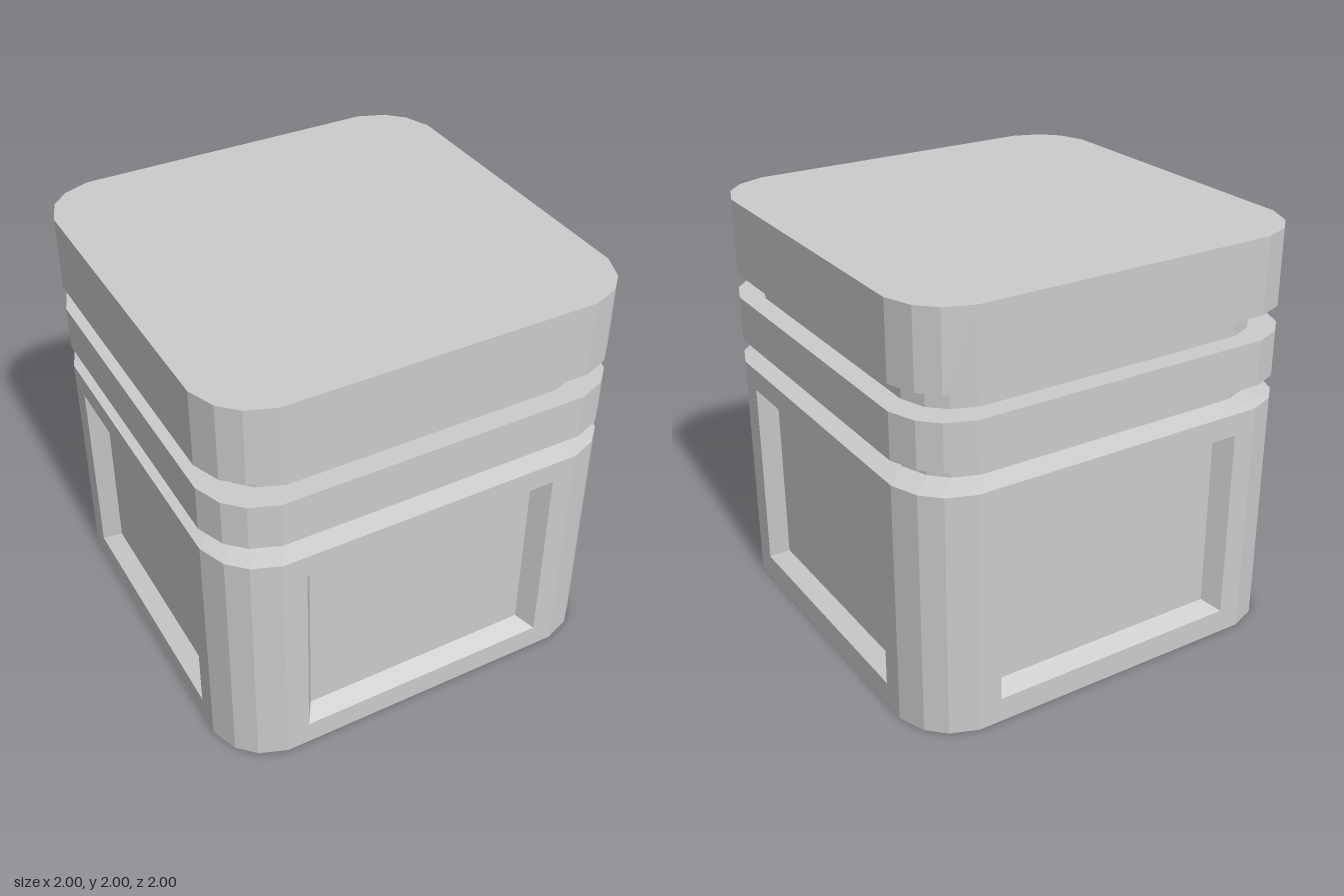
import * as THREE from 'three';

const material = new THREE.MeshStandardMaterial({ color: 0xcccccc, flatShading: true });

// Rounded-square outline: four corners of three facets each
const corner = [[1, 0.74], [0.95, 0.87], [0.87, 0.95], [0.74, 1]];
const outline = [];
for (let q = 0; q < 4; q++) {
  for (const [x, z] of corner) {
    outline.push([[x, z], [-z, x], [-x, -z], [z, -x]][q]);
  }
}

function meshFrom(name, positions) {
  const geometry = new THREE.BufferGeometry();
  geometry.setAttribute('position', new THREE.Float32BufferAttribute(positions, 3));
  geometry.computeVertexNormals();
  const mesh = new THREE.Mesh(geometry, material);
  mesh.name = name;
  return mesh;
}

// Stacks scaled outlines; levels are [height, scale]
function loft(name, levels, { openWalls = false, bottom = false, top = false } = {}) {
  const out = [];
  const n = outline.length;
  const point = ([y, s], i) => [outline[i % n][0] * s, y, outline[i % n][1] * s];
  for (let i = 0; i < n; i++) {
    for (let k = 0; k + 1 < levels.length; k++) {
      if (openWalls && k === 0 && i % 4 === 3) continue; // left for the recessed walls
      const a = point(levels[k], i), b = point(levels[k], i + 1);
      const c = point(levels[k + 1], i), d = point(levels[k + 1], i + 1);
      out.push(...a, ...c, ...b, ...b, ...c, ...d);
    }
    const first = levels[0], last = levels[levels.length - 1];
    if (bottom) out.push(0, first[0], 0, ...point(first, i), ...point(first, i + 1));
    if (top) out.push(0, last[0], 0, ...point(last, i + 1), ...point(last, i));
  }
  return meshFrom(name, out);
}

// Flat wall with a bevelled recess: nested rectangles joined ring by ring
function recessedWall() {
  const rect = (w, y0, y1, z) => [[-w, y0, z], [w, y0, z], [w, y1, z], [-w, y1, z]];
  const rings = [
    rect(0.74, 0, 1.18, 1),
    rect(0.63, 0.12, 1.07, 1),
    rect(0.575, 0.16, 1.03, 0.915),
  ];
  const out = [];
  for (let r = 0; r < 2; r++) {
    for (let i = 0; i < 4; i++) {
      const j = (i + 1) % 4;
      const a = rings[r][i], b = rings[r][j], c = rings[r + 1][j], d = rings[r + 1][i];
      out.push(...a, ...b, ...c, ...a, ...c, ...d);
    }
  }
  const [a, b, c, d] = rings[2];
  out.push(...a, ...b, ...c, ...a, ...c, ...d);
  return meshFrom('recessedWall', out);
}

export function createModel() {
  const model = new THREE.Group();
  model.name = 'panelledBlock';

  // Lower body with a recessed panel on each side
  const body = new THREE.Group();
  body.name = 'body';
  body.add(loft('bodyShell', [[0, 1], [1.18, 1], [1.205, 0.9]], { openWalls: true, bottom: true }));
  for (let i = 0; i < 4; i++) {
    const wall = recessedWall();
    wall.rotation.y = i * Math.PI / 2;
    body.add(wall);
  }
  model.add(body);

  // Two grooves either side of a collar, then the lid
  model.add(loft('lowerNeck', [[1.205, 0.9], [1.295, 0.9]]));
  model.add(loft('collar', [[1.295, 0.9], [1.295, 1], [1.515, 1], [1.515, 0.9]]));
  model.add(loft('upperNeck', [[1.515, 0.9], [1.61, 0.9]]));
  model.add(loft('lid', [[1.61, 0.9], [1.635, 1], [2, 1]], { top: true }));
  return model;
}
